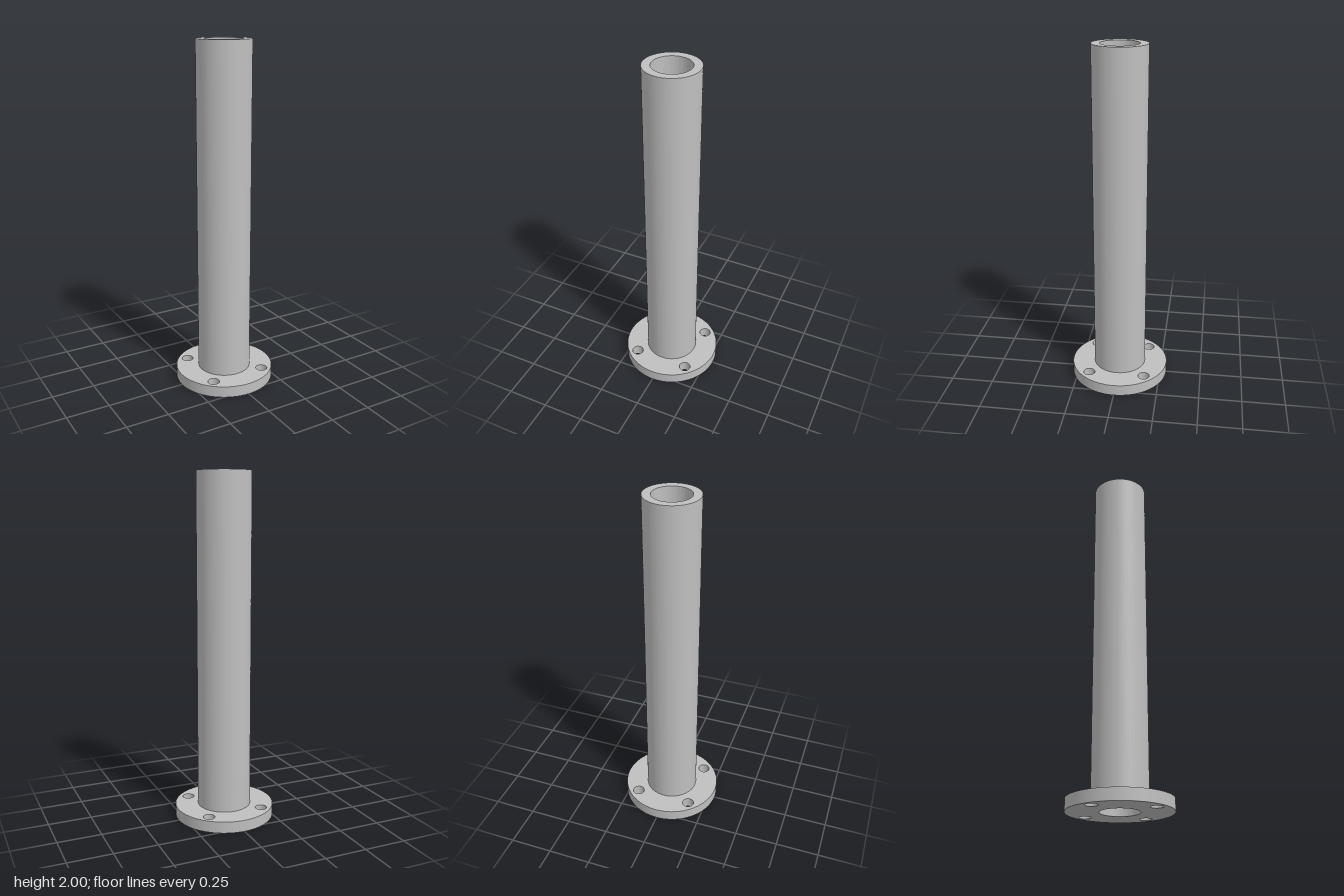
import * as THREE from 'three';
import { toCreasedNormals } from 'three/addons/utils/BufferGeometryUtils.js';

const FLANGE_RADIUS = 0.289;
const FLANGE_HEIGHT = 0.067;
const PIPE_RADIUS = 0.155;
const BORE_RADIUS = 0.108;
const BOLT_OFFSET = 0.165;
const BOLT_RADIUS = 0.034;
const TOTAL_HEIGHT = 2;

const circle = (PathType, x, y, r) => new PathType().absarc(x, y, r, 0, Math.PI * 2, false);

export function createModel() {
  const model = new THREE.Group();
  model.name = 'flangedPipe';

  const steel = new THREE.MeshStandardMaterial({ color: 0xbfbfbf });
  steel.name = 'steel grey';

  const addPart = (name, geometry) => {
    const mesh = new THREE.Mesh(toCreasedNormals(geometry, 0.6), steel);
    mesh.name = name;
    model.add(mesh);
  };

  // Flange disc with the central bore and four diagonal bolt holes
  const disc = circle(THREE.Shape, 0, 0, FLANGE_RADIUS);
  disc.holes.push(circle(THREE.Path, 0, 0, BORE_RADIUS));
  for (const x of [-BOLT_OFFSET, BOLT_OFFSET]) {
    for (const y of [-BOLT_OFFSET, BOLT_OFFSET]) {
      disc.holes.push(circle(THREE.Path, x, y, BOLT_RADIUS));
    }
  }
  const flange = new THREE.ExtrudeGeometry(disc, {
    depth: FLANGE_HEIGHT,
    bevelEnabled: false,
    curveSegments: 48,
  });
  flange.rotateX(-Math.PI / 2);
  addPart('flange', flange);

  // Hollow pipe: up the outer wall, across the rim, down the bore
  const profile = [
    new THREE.Vector2(PIPE_RADIUS, FLANGE_HEIGHT),
    new THREE.Vector2(PIPE_RADIUS, TOTAL_HEIGHT),
    new THREE.Vector2(BORE_RADIUS, TOTAL_HEIGHT),
    new THREE.Vector2(BORE_RADIUS, FLANGE_HEIGHT),
  ];
  addPart('pipe', new THREE.LatheGeometry(profile, 96));

  return model;
}
